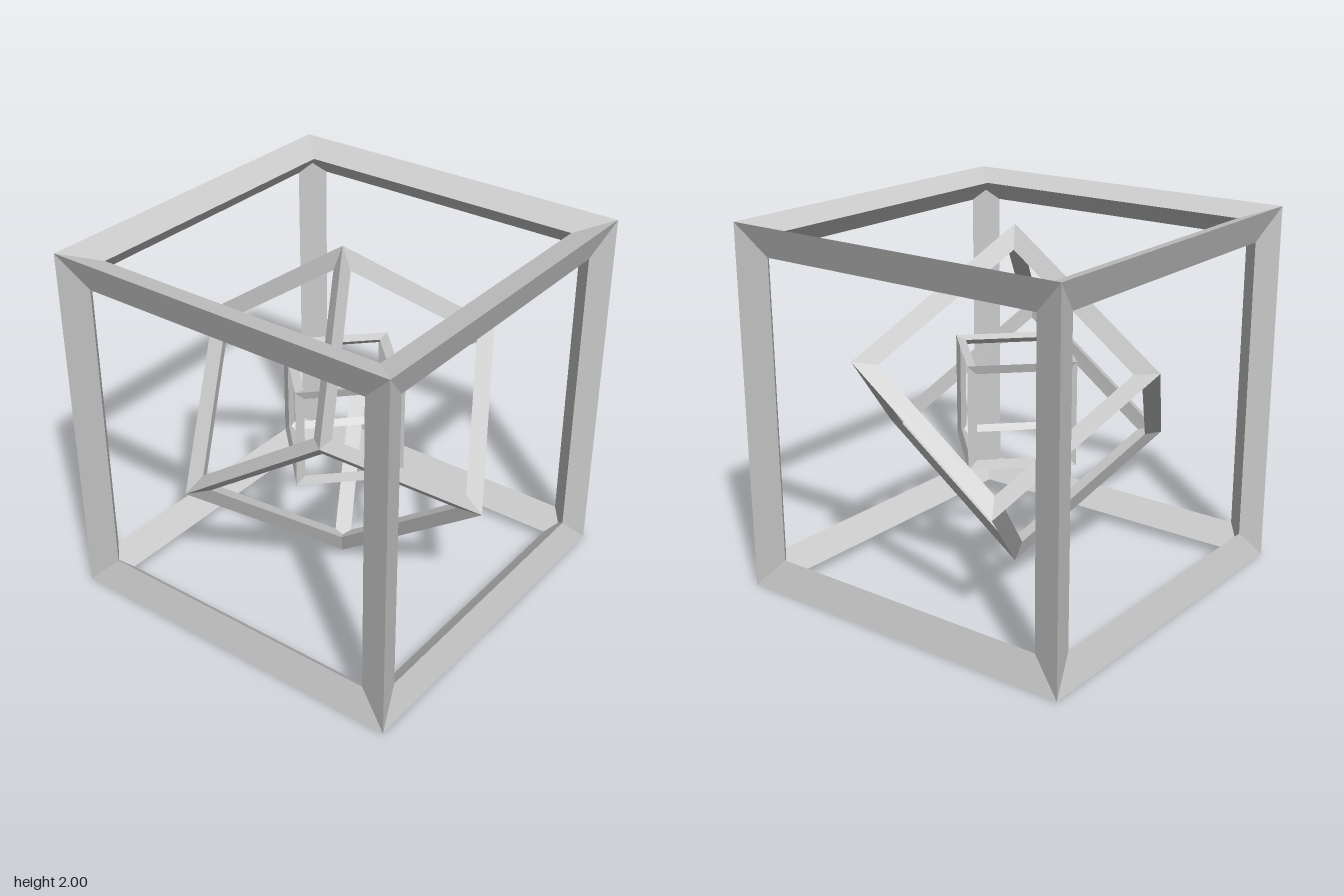
import * as THREE from 'three';
import { mergeGeometries } from 'three/addons/utils/BufferGeometryUtils.js';

// One square face of a unit cube frame: a mitred strip folding from the
// outer edge to the window rim and back to the inner edge.
function frameFace() {
  const loops = [[1, 1], [0.83, 0.943], [0.887, 0.887]]; // [half width, height]
  const corners = [[1, 1], [-1, 1], [-1, -1], [1, -1]];
  const point = (l, c) => [corners[c % 4][0] * loops[l][0], corners[c % 4][1] * loops[l][0], loops[l][1]];
  const pos = [];
  for (let l = 0; l < 2; l++) {
    for (let c = 0; c < 4; c++) {
      const a = point(l, c), b = point(l, c + 1), d = point(l + 1, c + 1), e = point(l + 1, c);
      pos.push(...a, ...b, ...d, ...a, ...d, ...e);
    }
  }
  const geo = new THREE.BufferGeometry();
  geo.setAttribute('position', new THREE.Float32BufferAttribute(pos, 3));
  return geo;
}

// Six faces turned around the cube
function frameGeometry() {
  const faces = [];
  for (let i = 0; i < 4; i++) faces.push(frameFace().rotateY(i * Math.PI / 2));
  for (const s of [-1, 1]) faces.push(frameFace().rotateX(s * Math.PI / 2));
  const geo = mergeGeometries(faces);
  geo.computeVertexNormals();
  return geo;
}

export function createModel() {
  const group = new THREE.Group();
  const geo = frameGeometry();
  const mat = new THREE.MeshStandardMaterial({ color: 0xcccccc, flatShading: true });

  const addFrame = (name, halfSize) => {
    const mesh = new THREE.Mesh(geo, mat);
    mesh.name = name;
    mesh.scale.setScalar(halfSize);
    mesh.position.y = 1;
    group.add(mesh);
    return mesh;
  };

  addFrame('outerCubeFrame', 1);

  // Middle frame stands on a corner, its body diagonal upright
  const axis = (deg) => {
    const a = THREE.MathUtils.degToRad(deg), r = Math.sqrt(2 / 3);
    return new THREE.Vector3(r * Math.cos(a), Math.sqrt(1 / 3), -r * Math.sin(a));
  };
  const basis = new THREE.Matrix4().makeBasis(axis(0), axis(120), axis(240));
  addFrame('middleCubeFrame', 0.548).quaternion.setFromRotationMatrix(basis);

  // Inner frame is turned an eighth about the vertical
  addFrame('innerCubeFrame', 0.283).rotation.y = Math.PI / 4;

  return group;
}
